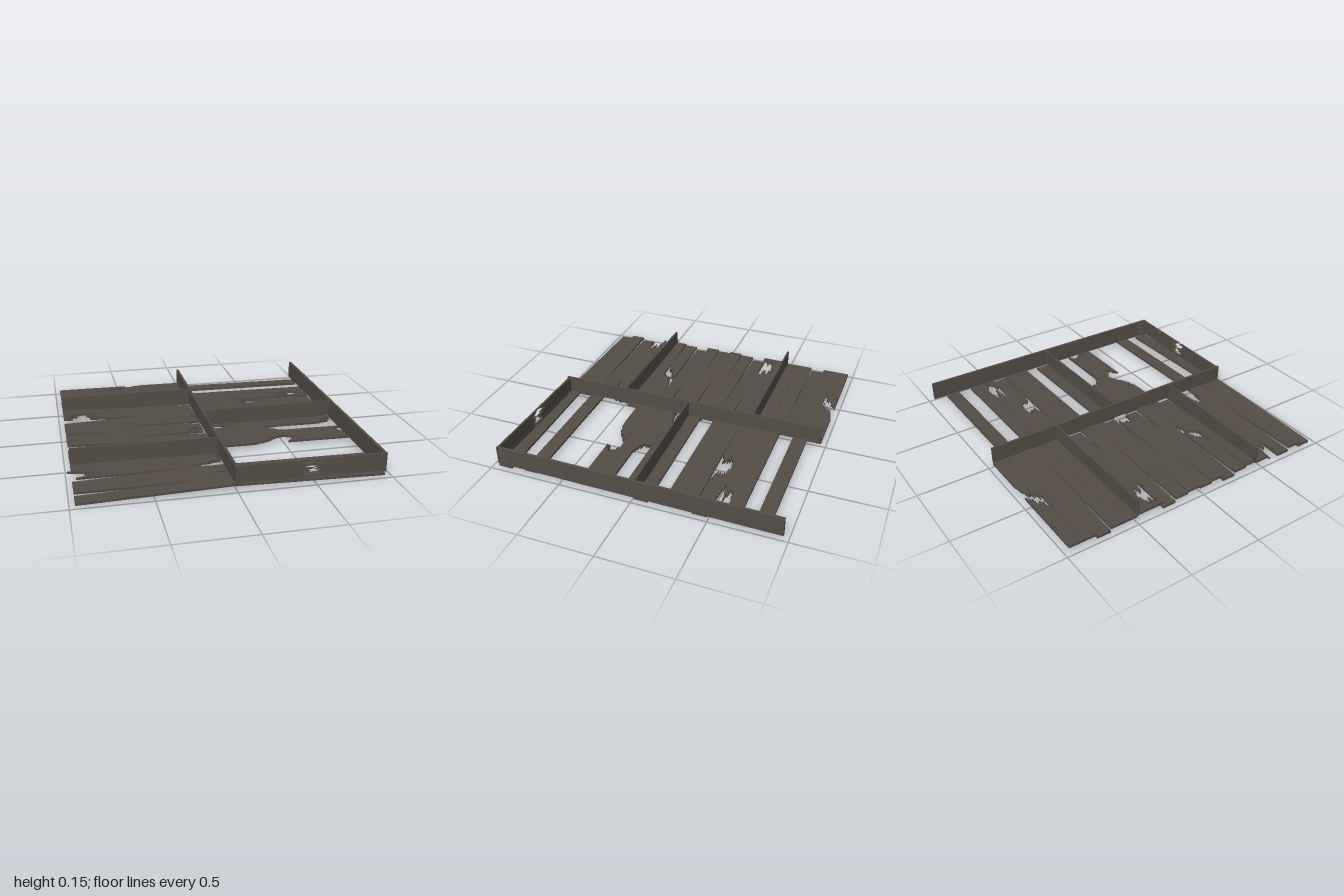
import * as THREE from 'three';

let seed = 7;
const rand = () => (seed = (seed * 16807) % 2147483647) / 2147483647;

// One end of a board as [x, across] points: a number is a clean cut, an array a splintered break
function endProfile(end, width) {
  if (typeof end === 'number') return [[end, 0], [end, width]];
  const n = 14, pts = [];
  for (let i = 0; i <= n; i++) {
    const f = (i / n) * (end.length - 1), k = Math.min(Math.floor(f), end.length - 2);
    const x = THREE.MathUtils.lerp(end[k], end[k + 1], f - k);
    const jag = i === 0 || i === n ? 0 : (i % 2 ? 1 : -1) * (0.008 + 0.03 * rand());
    pts.push([x + jag, (i / n) * width]);
  }
  return pts;
}

// Flat board in the xy plane, centred on its thickness
function boardGeometry(from, to, width, depth) {
  const pts = [...endProfile(from, width), ...endProfile(to, width).reverse()];
  const shape = new THREE.Shape(pts.map(([x, y]) => new THREE.Vector2(x, y)));
  return new THREE.ExtrudeGeometry(shape, { depth, bevelEnabled: false }).translate(0, 0, -depth / 2);
}

export function createModel() {
  const model = new THREE.Group();
  model.name = 'brokenFloor';
  const wood = new THREE.MeshStandardMaterial({ color: 0x544d46 });
  wood.name = 'weatheredWood';

  const add = (geometry, name) => {
    const mesh = new THREE.Mesh(geometry, wood);
    mesh.name = name;
    model.add(mesh);
    return mesh;
  };

  // Floor planks: 20 rows, each leaning from height y0 at its left end to y1 at its right end
  const rowWidth = 0.0965, start = -0.968, thick = 0.016;
  function plank(row, side, y0, y1, pieces) {
    const cx = side * 0.48;
    for (const [from, to] of pieces) {
      const geo = boardGeometry(from, to, rowWidth - 0.001, thick);
      geo.rotateX(Math.PI / 2).translate(-cx, 0, 0);
      const mesh = add(geo, side < 0 ? 'rightPlank' : 'leftPlank');
      mesh.position.set(cx, (y0 + y1) / 2, start + row * rowWidth);
      mesh.rotation.z = Math.atan2(y1 - y0, 0.96);
    }
  }

  const diagonal = [[-0.965, [-0.44, -0.47, -0.54, -0.54, -0.64]], [[-0.31, -0.41, -0.42, -0.46, -0.48], 0]];
  const brokenWest = {
    0: diagonal,
    6: [[-0.965, [-0.84, -0.93, -0.9, -0.93, -0.94]], [[-0.82, -0.73, -0.8, -0.68, -0.78], 0]],
    10: [[-0.965, [-0.06, -0.11, -0.1, -0.13, -0.02]]],
    13: diagonal,
    15: [[-0.965, [0, -0.03, -0.02, -0.03, 0]]],
    16: [[[-0.99, -0.83, -0.88, -0.8, -0.94], [-0.02, -0.06, -0.18, -0.24, -0.07]]],
  };
  const lowInner = [5, 6, 9, 11, 14];
  const lowOuter = [2, 7, 12, 17, 19];
  for (let row = 0; row < 20; row++) {
    const y0 = lowInner.includes(row) ? 0.052 : lowOuter.includes(row) ? 0.015 : 0.04;
    const y1 = lowInner.includes(row) ? 0.014 : lowOuter.includes(row) ? 0.04 : 0.034;
    plank(row, -1, y0, y1, brokenWest[row] || [[-0.965, 0]]);
  }

  const whole = [[0, 0.962]];
  const east = {
    1: whole, 3: whole, 6: whole, 7: whole, 9: whole, 17: whole, 19: whole,
    4: [[0, [0.78, 0.7, 0.8, 0.67, 0.84]], [[0.86, 0.94, 0.93, 0.85, 0.86], 0.962]],
    5: [[0, [0.44, 0.39, 0.41, 0.43, 0.34]], [[0.46, 0.56, 0.57, 0.55, 0.62], 0.962]],
    10: [[[0, 0.14, 0.23, 0.13, 0.02], [0.95, 0.9, 0.86, 0.93, 0.8]]],
    11: [[0, [0.42, 0.46, 0.44, 0.48, 0.54]]],
    12: [[0, [0.95, 0.91, 0.88, 0.92, 0.9]]],
    13: [[0, [0.48, 0.42, 0.4, 0.35, 0.24]], [[0.53, 0.57, 0.59, 0.57, 0.52], 0.962]],
  };
  const lowEast = [5, 9, 19];
  for (const [key, pieces] of Object.entries(east)) {
    const row = Number(key);
    plank(row, 1, 0.038, lowEast.includes(row) ? 0.014 : 0.028, pieces);
  }

  // Upright boards, running from (x0, z0) to (x1, z1); pieces are measured along the run
  function upright(name, x0, z0, x1, z1, bottom, top, depth, pieces) {
    const length = Math.hypot(x1 - x0, z1 - z0);
    for (const [from, to] of pieces || [[0, length]]) {
      const mesh = add(boardGeometry(from, to, top - bottom, depth), name);
      mesh.position.set(x0, bottom, z0);
      mesh.rotation.y = -Math.atan2(z1 - z0, x1 - x0);
    }
  }

  // Long beams
  upright('centreBeam', 0, -0.967, 0, 0.96, 0.045, 0.158, 0.016);
  upright('leftBeam', 0.976, -0.967, 0.958, 0.962, 0.032, 0.158, 0.02,
    [[0, [1.9, 1.85, 1.87, 1.84, 1.91]], [[1.9, 1.88, 1.89, 1.87, 1.91], 1.929]]);

  // Cross joists
  upright('rightRearJoist', -0.965, -0.48, 0, -0.48, 0.04, 0.157, 0.012);
  upright('rightFrontJoist', -0.965, 0.466, 0, 0.486, 0.04, 0.157, 0.014);
  upright('leftMiddleJoist', 0, -0.004, 0.96, -0.014, 0.04, 0.157, 0.012);
  upright('leftFrontJoist', 0, 0.943, 0.96, 0.953, 0.04, 0.157, 0.014,
    [[0, [0.5, 0.42, 0.46, 0.39, 0.44]], [[0.51, 0.54, 0.51, 0.55, 0.45], 0.96]]);

  return model;
}
